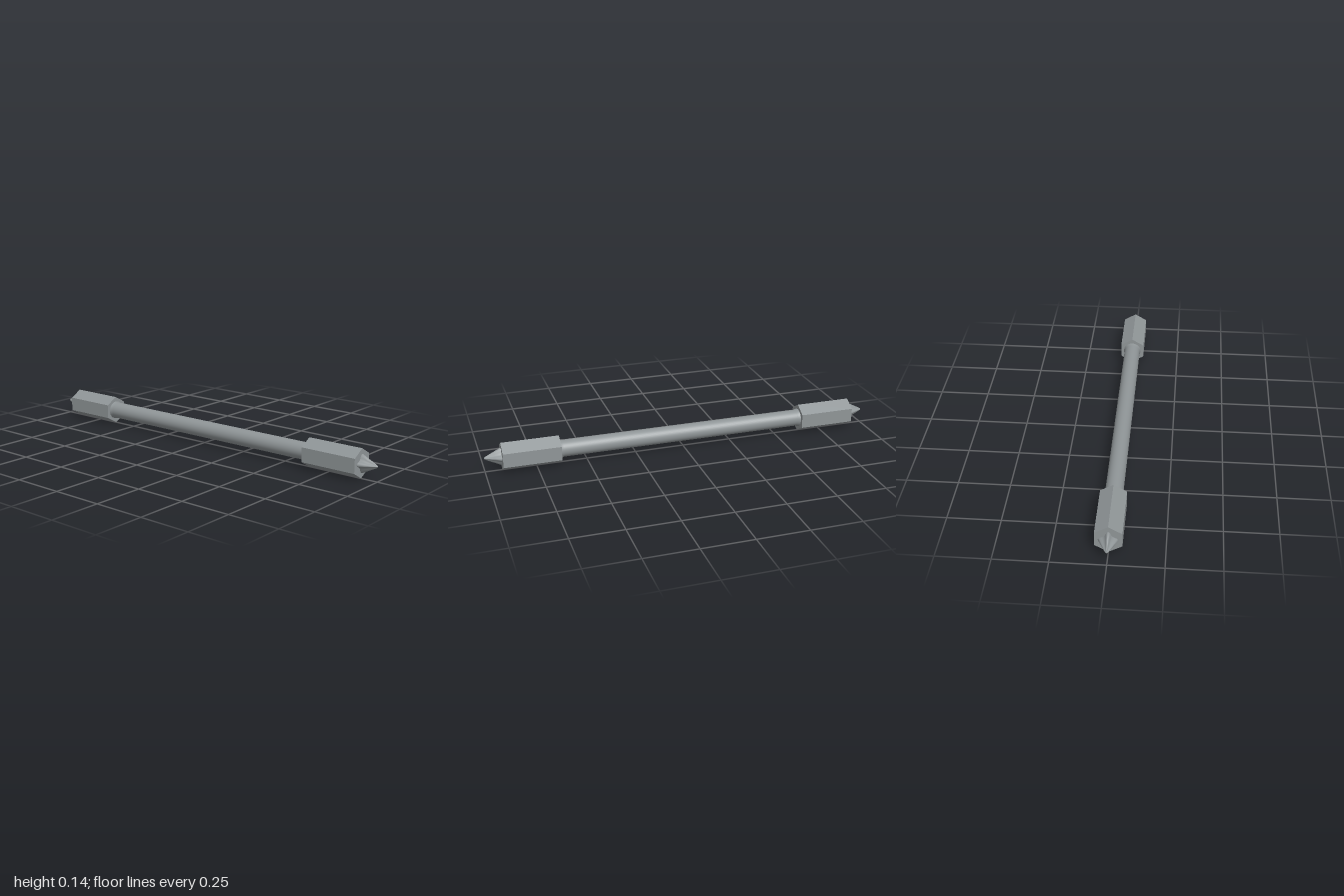
import * as THREE from 'three';

const CENTER_Y = 0.0715;

// Tapered cruciform driver point: one quarter outline repeated and scaled along z
function tipGeometry() {
  const quarter = [[0.045, 0], [0.038, 0.008], [0.028, 0.0125], [0.018, 0.018], [0.0125, 0.028], [0.008, 0.038]];
  const outline = [];
  for (let q = 0; q < 4; q++) {
    const c = Math.round(Math.cos(q * Math.PI / 2)), s = Math.round(Math.sin(q * Math.PI / 2));
    for (const [x, y] of quarter) outline.push([x * c - y * s, x * s + y * c]);
  }
  const levels = [[0.91, 1], [0.922, 1], [0.95, 0.68], [0.975, 0.4], [0.992, 0.2], [0.998, 0.11], [1.0, 0]];
  const n = outline.length, pos = [], index = [];
  levels.forEach(([z, k], j) => {
    outline.forEach(([x, y], i) => {
      pos.push(x * k, y * k, z);
      if (j === levels.length - 1) return;
      const a = j * n + i, b = j * n + (i + 1) % n;
      index.push(a, b, b + n, a, b + n, a + n);
    });
  });
  const g = new THREE.BufferGeometry();
  g.setAttribute('position', new THREE.Float32BufferAttribute(pos, 3));
  g.setIndex(index);
  g.computeVertexNormals();
  return g;
}

// Hexagonal bit body with sharp edges, corners up and down
function hexGeometry() {
  const g = new THREE.CylinderGeometry(0.071, 0.071, 0.284, 6).toNonIndexed();
  g.rotateX(Math.PI / 2);
  g.translate(0, 0, 0.775);
  g.computeVertexNormals();
  return g;
}

export function createModel() {
  const model = new THREE.Group();
  model.name = 'doubleEndedBit';
  const steel = new THREE.MeshStandardMaterial({ color: 0x8f9597 });
  steel.name = 'steel grey';

  const add = (parent, name, geometry) => {
    const mesh = new THREE.Mesh(geometry, steel);
    mesh.name = name;
    parent.add(mesh);
  };

  // Round shaft, flaring slightly where it meets each hexagonal end
  const profile = [[0.047, -0.64], [0.046, -0.63], [0.042, -0.615], [0.042, 0.615], [0.046, 0.63], [0.047, 0.64]];
  const shaft = new THREE.LatheGeometry(profile.map(([r, y]) => new THREE.Vector2(r, y)), 40);
  shaft.rotateX(Math.PI / 2);
  shaft.translate(0, CENTER_Y, 0);
  add(model, 'shaft', shaft);

  // Identical ends at front and back
  const hex = hexGeometry(), tip = tipGeometry();
  for (const [name, turn] of [['front', 0], ['back', Math.PI]]) {
    const end = new THREE.Group();
    end.name = name + 'End';
    end.position.y = CENTER_Y;
    end.rotation.y = turn;
    add(end, name + 'HexBody', hex);
    add(end, name + 'CrossTip', tip);
    model.add(end);
  }
  return model;
}
